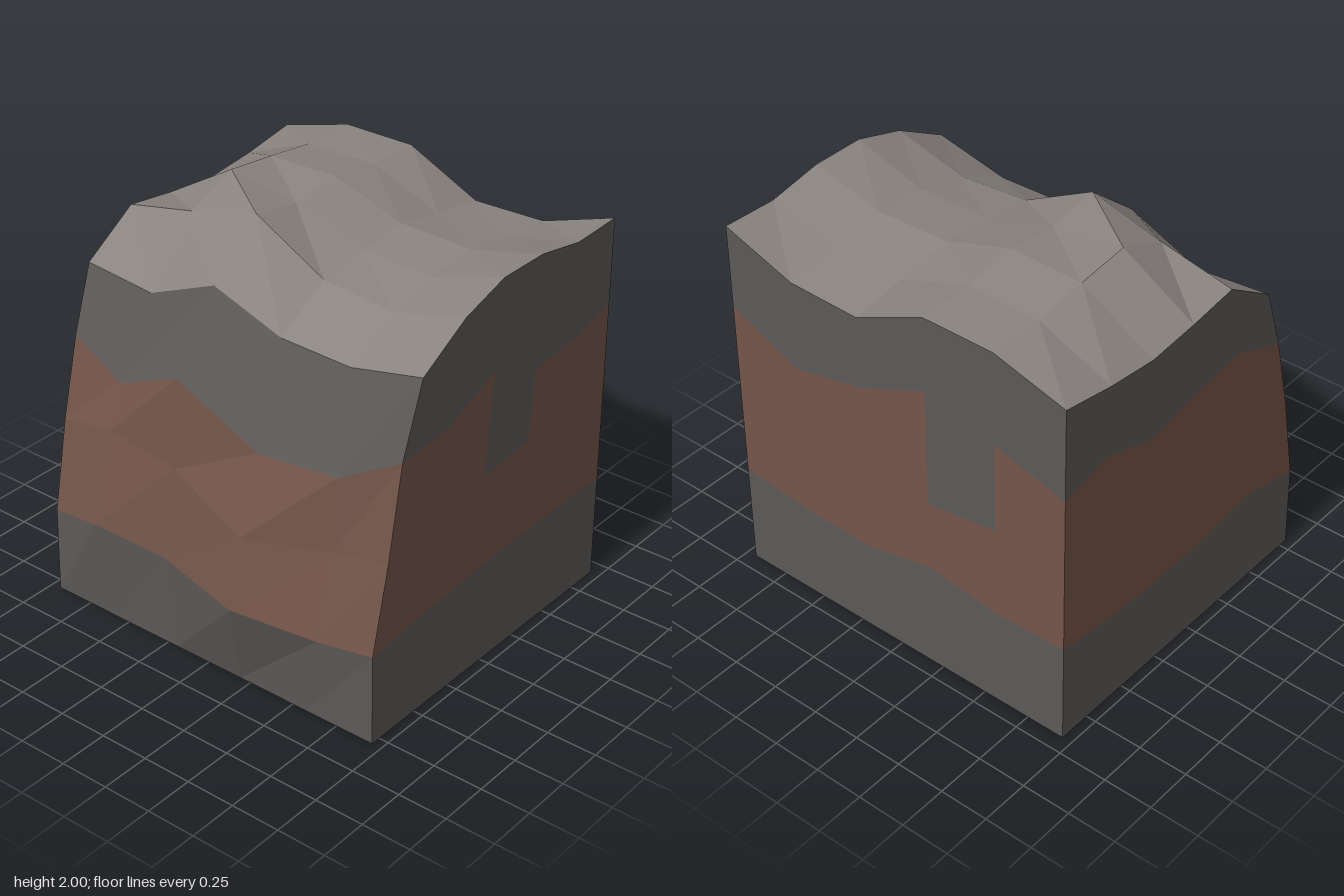
import * as THREE from 'three';

const mat = (name, color) => new THREE.MeshStandardMaterial({ name, color, side: THREE.DoubleSide, flatShading: true });

// Faceted sheet from rows of points; pick(row, column) gives the material index of a cell
function sheet(name, rows, materials, pick) {
  const cells = materials.map(() => []);
  for (let i = 0; i < rows.length - 1; i++) {
    for (let j = 0; j < rows[i].length - 1; j++) {
      const a = rows[i][j], b = rows[i][j + 1], c = rows[i + 1][j + 1], d = rows[i + 1][j];
      cells[pick(i, j)].push(...a, ...b, ...c, ...a, ...c, ...d);
    }
  }
  const geo = new THREE.BufferGeometry();
  geo.setAttribute('position', new THREE.Float32BufferAttribute(cells.flat(), 3));
  let start = 0;
  cells.forEach((list, m) => {
    geo.addGroup(start, list.length / 3, m);
    start += list.length / 3;
  });
  geo.computeVertexNormals();
  const mesh = new THREE.Mesh(geo, materials);
  mesh.name = name;
  return mesh;
}

export function createModel() {
  const group = new THREE.Group();
  group.name = 'cliffBlock';
  const topStone = mat('topStone', 0x8a8480);
  const rock = mat('darkRock', 0x5c5957);
  const earth = mat('brownEarth', 0x735549);

  const R = 0.92;
  const zs = [0.95, 0.57, 0.19, -0.19, -0.57, -0.95];
  const xs = [-0.49, -0.2, 0.07, 0.35, 0.63, R];

  // Heights of the top, front row to back row, each from the cliff edge to the right
  const heights = [
    [1.70, 1.86, 1.94, 1.94, 1.89, 1.90],
    [1.615, 1.76, 1.82, 1.845, 1.80, 1.77],
    [1.625, 1.79, 1.83, 1.855, 1.80, 1.76],
    [1.754, 1.99, 1.945, 1.975, 1.94, 1.935],
    [1.593, 1.89, 2.0, 1.97, 1.935, 1.935],
    [1.627, 1.81, 1.775, 1.75, 1.78, 1.83],
  ];
  const top = heights.map((row, i) => row.map((y, j) => [xs[j], y, zs[i]]));
  group.add(sheet('top', top, [topStone], () => 0));

  // Cliff face: rows going up, columns from back to front
  const flat = [...zs].reverse();
  const cliff = [
    flat.map((z) => [-0.8, 0, z]),
    [[-0.79, 0.44, -0.95], [-0.83, 0.495, -0.66], [-0.82, 0.485, -0.24], [-0.92, 0.46, 0.24], [-0.83, 0.43, 0.66], [-0.805, 0.465, 0.95]],
    [[-0.70, 0.90, -0.95], [-0.72, 0.96, -0.64], [-0.75, 0.93, -0.22], [-0.845, 0.80, 0.24], [-0.72, 0.84, 0.66], [-0.705, 0.89, 0.95]],
    [[-0.60, 1.30, -0.95], [-0.63, 1.165, -0.65], [-0.70, 1.365, -0.24], [-0.70, 1.16, 0.23], [-0.69, 1.20, 0.66], [-0.62, 1.35, 0.95]],
    top.map((row) => row[0]).reverse(),
  ];
  const band = (i) => (i === 1 || i === 2 ? 1 : 0);
  group.add(sheet('cliffFace', cliff, [rock, earth], band));

  // Flat end walls: rows run from the cliff edge to the right side
  const endWall = (side, layers) => {
    const column = side > 0 ? 5 : 0;
    const rows = layers.map((ys, i) => {
      const [left, y0, z] = cliff[i][column];
      return [[left, y0, z], ...ys.map((y, k) => [R - (R - left) * Math.pow(1 - (k + 1) / 5, 1.07), y, z])];
    });
    rows.push(top[side > 0 ? 0 : 5]);
    return side > 0 ? rows : rows.map((row) => [...row].reverse());
  };
  const zero = [0, 0, 0, 0, 0];
  const front = endWall(1, [
    zero,
    [0.50, 0.52, 0.54, 0.54, 0.54],
    [0.94, 1.0, 1.025, 1.0, 1.0],
    [1.375, 1.51, 1.38, 1.405, 1.475],
  ]);
  const back = endWall(-1, [
    zero,
    [0.523, 0.476, 0.47, 0.49, 0.53],
    [0.95, 0.93, 0.92, 0.94, 0.95],
    [1.425, 1.39, 1.33, 1.427, 1.36],
  ]);
  // One cell of dark rock notches the brown band
  const notched = (n) => (i, j) => (i === 2 && j === n ? 0 : band(i));
  group.add(sheet('frontWall', front, [rock, earth], notched(2)));
  group.add(sheet('backWall', back, [rock, earth], band));

  // Right wall, front to back
  const right = [
    [0, ...zero],
    [0.54, 0.50, 0.49, 0.57, 0.52, 0.53],
    [1.0, 0.95, 0.93, 0.94, 0.995, 0.95],
    [1.475, 1.31, 1.39, 1.555, 1.46, 1.36],
  ].map((ys) => ys.map((y, j) => [R, y, zs[j]]));
  right.push(top.map((row) => row[5]));
  group.add(sheet('rightWall', right, [rock, earth], notched(3)));

  return group;
}
